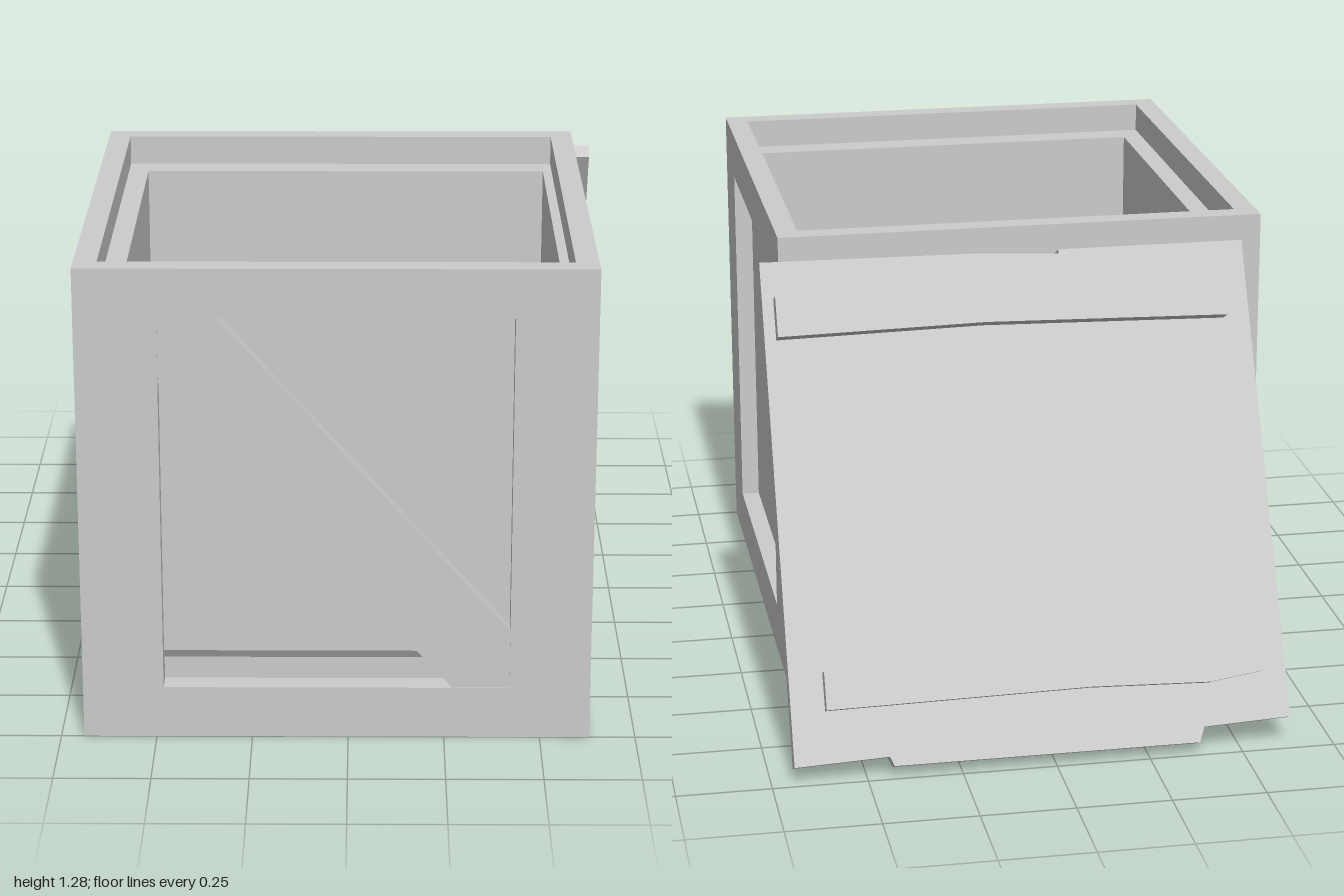
import * as THREE from 'three';

const material = new THREE.MeshStandardMaterial({ color: 0xcccccc, flatShading: true });

// Crate extents
const X0 = -0.69, X1 = 0.63, Z0 = -0.33, Z1 = 1.0, TOP = 1.28, T = 0.06;

const rect = (a0, a1, b0, b1) => [[a0, b0], [a1, b0], [a1, b1], [a0, b1]];

function extrude(points, depth, hole) {
  const shape = new THREE.Shape(points.map(p => new THREE.Vector2(...p)));
  if (hole) shape.holes.push(new THREE.Path(hole.map(p => new THREE.Vector2(...p))));
  return new THREE.ExtrudeGeometry(shape, { depth, bevelEnabled: false });
}

// Shape in the z-y plane, filling x from xMin to xMax
function extrudeAlongX(points, xMin, xMax, hole) {
  return extrude(points, xMax - xMin, hole).rotateY(-Math.PI / 2).translate(xMax, 0, 0);
}

function boxBetween(x0, x1, y0, y1, z0, z1) {
  return new THREE.BoxGeometry(x1 - x0, y1 - y0, z1 - z0)
    .translate((x0 + x1) / 2, (y0 + y1) / 2, (z0 + z1) / 2);
}

function add(parent, name, geometry) {
  const mesh = new THREE.Mesh(geometry, material);
  mesh.name = name;
  parent.add(mesh);
  return mesh;
}

function createCrate() {
  const crate = new THREE.Group();
  crate.name = 'crate';

  // Front and back: frame, diagonal brace, panel with a stepped lower edge
  const brace = [[-0.48, 1.15], [-0.48, 0.98], [0.27, 0.14], [0.42, 0.14], [0.42, 0.30], [-0.33, 1.15]];
  for (const [side, outer, s, inner] of [['front', Z1, 1, 0.86], ['back', Z0, -1, -0.19]]) {
    const zStart = s > 0 ? outer - T : outer;
    add(crate, side + 'Frame',
      extrude(rect(X0, X1, 0, TOP), T, rect(-0.48, 0.42, 0.14, 1.15)).translate(0, 0, zStart));
    add(crate, side + 'Brace',
      extrude(brace, 0.05).translate(0, 0, s > 0 ? outer - 0.053 : outer + 0.003));
    const face = outer - s * 0.045, low = outer - s * T;
    const profile = [[inner, 0.04], [low, 0.04], [low, 0.2], [face, 0.225],
      [face, 1.17], [low, 1.17], [low, 1.2], [inner, 1.2]];
    add(crate, side + 'Panel', extrudeAlongX(profile, X0 + T, X1 - T));
  }

  // Left and right: frame and recessed panel
  const sideOutline = rect(Z0 + T, Z1 - T, 0, TOP);
  const sideHole = rect(-0.11, 0.79, 0.14, 1.15);
  add(crate, 'leftFrame', extrudeAlongX(sideOutline, X1 - T, X1, sideHole));
  add(crate, 'rightFrame', extrudeAlongX(sideOutline, X0, X0 + T, sideHole));
  add(crate, 'leftPanel', boxBetween(0.545, X1 - 0.05, 0.04, 1.2, -0.2, 0.87));
  add(crate, 'rightPanel', boxBetween(X0 + 0.05, -0.575, 0.04, 1.2, -0.2, 0.87));
  // Ledge corners where the panels meet the lip
  for (const [z0, z1] of [[Z0 + T, -0.19], [0.86, Z1 - T]]) {
    add(crate, 'ledgeCorner', boxBetween(0.545, X1 - T, 0.04, 1.199, z0, z1));
    add(crate, 'ledgeCorner', boxBetween(X0 + T, -0.575, 0.04, 1.199, z0, z1));
  }

  // Underside frame and floor
  const base = extrude(rect(X0 + T, X1 - T, Z0 + T, Z1 - T), 0.04, rect(-0.57, 0.52, -0.16, 0.83));
  add(crate, 'baseFrame', base.rotateX(Math.PI / 2).translate(0, 0.04, 0));
  add(crate, 'floor', boxBetween(X0 + T, X1 - T, 0.035, 0.1, Z0 + T, Z1 - T));
  return crate;
}

// Lid leaning on the back; its local y runs up the slope from the top edge
function createLid() {
  const lid = new THREE.Group();
  lid.name = 'lid';
  const board = [[-0.625, 0], [-0.635, -1.29], [-0.4, -1.3], [-0.385, -1.34], [0.43, -1.34],
    [0.44, -1.315], [0.69, -1.325], [0.685, 0.005], [0.1, 0], [-0.12, -0.012], [-0.12, 0]];
  add(lid, 'lidBoard', extrude(board, 0.05).translate(0, 0, -0.05));

  // Slightly warped battens
  const upper = [[-0.555, -0.11], [0.1, -0.085], [0.655, -0.095],
    [0.655, -0.205], [0.1, -0.195], [-0.555, -0.21]];
  const lower = [[-0.57, -1.1], [-0.1, -1.075], [0.6, -1.085],
    [0.6, -1.185], [-0.1, -1.175], [-0.42, -1.185], [-0.565, -1.165]];
  add(lid, 'upperBatten', extrude(upper, 0.055).translate(0, 0, -0.1));
  add(lid, 'lowerBatten', extrude(lower, 0.05).translate(0, 0, -0.09));

  lid.position.set(0, 1.2, -0.332);
  lid.rotation.x = 0.48;
  return lid;
}

export function createModel() {
  const model = new THREE.Group();
  model.name = 'openCrate';
  model.add(createCrate(), createLid());
  return model;
}
